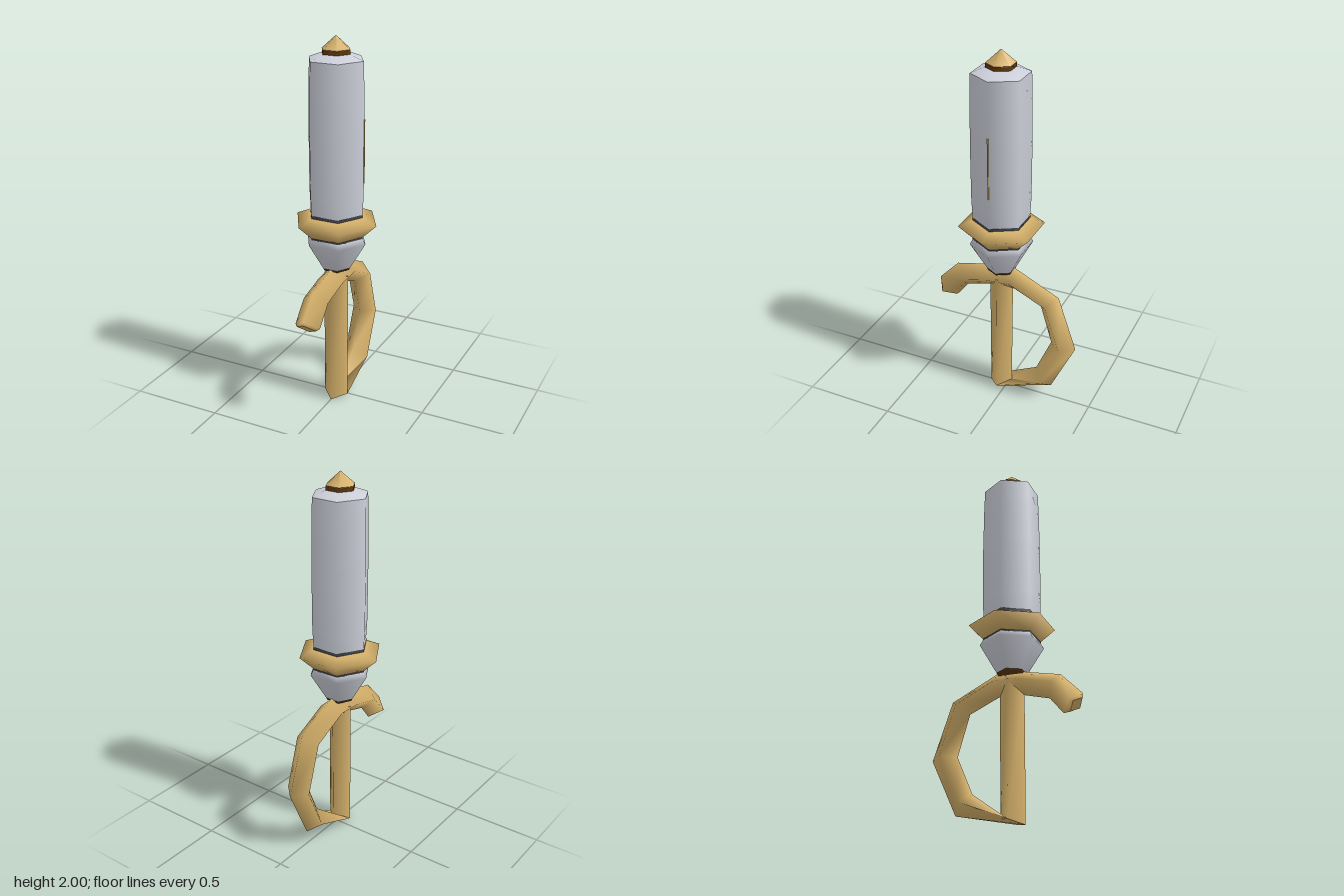
import * as THREE from 'three';

const makeMaterial = (name, color, side = THREE.FrontSide) =>
  Object.assign(new THREE.MeshStandardMaterial({ color, side }), { name });

const AXIS_Z = 0.032; // the sheath and collars share one vertical axis

// Six-sided turned part with corners on +x and -x; profile runs bottom to top as [radius, y]
function hexLathe(name, material, profile) {
  const points = profile.map(([r, y]) => new THREE.Vector2(r, y));
  const mesh = new THREE.Mesh(new THREE.LatheGeometry(points, 6, Math.PI / 6), material);
  mesh.name = name;
  mesh.position.z = AXIS_Z;
  return mesh;
}

// Four-sided bar lofted through diamond sections: [inner z, inner y, outer z, outer y, half width]
function diamondBar(name, material, sections) {
  const rings = sections.map(([iz, iy, oz, oy, w = 0.07]) => {
    const y = (iy + oy) / 2, z = (iz + oz) / 2;
    return [[0, iy, iz], [w, y, z], [0, oy, oz], [-w, y, z]];
  });
  const last = rings.length - 1;
  const positions = [...rings, rings[0], rings[last]].flat(2);
  const index = [];
  for (let s = 0; s < last; s++) {
    for (let k = 0; k < 4; k++) {
      const a = s * 4 + k, b = s * 4 + (k + 1) % 4;
      index.push(a, a + 4, b, b, a + 4, b + 4);
    }
  }
  // End caps have their own vertices so their edges stay sharp
  const c = rings.length * 4, d = c + 4;
  index.push(c, c + 1, c + 2, c, c + 2, c + 3, d, d + 2, d + 1, d, d + 3, d + 2);
  const geometry = new THREE.BufferGeometry();
  geometry.setAttribute('position', new THREE.Float32BufferAttribute(positions, 3));
  geometry.setIndex(index);
  geometry.computeVertexNormals();
  const mesh = new THREE.Mesh(geometry, material);
  mesh.name = name;
  return mesh;
}

export function createModel() {
  const gold = makeMaterial('gold', 0xd8b36c);
  const silver = makeMaterial('silver', 0xcdd0da);
  const dark = makeMaterial('dark grey', 0x45464c);
  const brown = makeMaterial('brown', 0x5f390e);

  const model = new THREE.Group();
  model.name = 'sheathedDagger';

  // Sheath, its sloped shoulder and the tip
  const sheath = new THREE.Group();
  sheath.name = 'sheath';
  sheath.add(
    hexLathe('sheathBody', silver, [[0.149, 1.09], [0.155, 1.2], [0.156, 1.5], [0.153, 1.75], [0.149, 1.885]]),
    hexLathe('sheathShoulder', silver, [[0.149, 1.885], [0.078, 1.912], [0, 1.912]]),
    hexLathe('sheathMouthBand', dark, [[0.151, 1.08], [0.151, 1.1]]),
    hexLathe('tipCollar', brown, [[0.077, 1.91], [0.077, 1.935]]),
    hexLathe('tipCap', gold, [[0.078, 1.932], [0, 2]])
  );

  // Thin gold inlay along one corner of the sheath
  const inlay = new THREE.Mesh(new THREE.BoxGeometry(0.006, 0.33, 0.006), gold);
  inlay.name = 'sheathInlay';
  inlay.position.set(0.155, 1.435, AXIS_Z);
  sheath.add(inlay);

  // Wide ring and the tapering socket beneath it
  const collar = new THREE.Group();
  collar.name = 'collar';
  collar.add(
    hexLathe('collarRing', gold, [[0, 0.975], [0.15, 0.975], [0.228, 1.05], [0.15, 1.085], [0, 1.085]]),
    hexLathe('socketBand', dark, [[0.152, 0.967], [0.152, 0.977]]),
    hexLathe('socket', silver, [[0.08, 0.79], [0.168, 0.94], [0.148, 0.975]]),
    hexLathe('socketBase', brown, [[0, 0.778], [0.075, 0.778], [0.08, 0.792]])
  );

  // Grip with a slanted foot, the hooked guard and the hand loop
  const hilt = new THREE.Group();
  hilt.name = 'hilt';
  hilt.add(
    diamondBar('grip', gold, [
      [0.1, 0.74, -0.035, 0.74],
      [0.1, 0.005, -0.03, 0.045]
    ]),
    diamondBar('guardAndHandLoop', gold, [
      [0.34, 0.54, 0.405, 0.605, 0.055],
      [0.305, 0.537, 0.409, 0.625],
      [0.235, 0.625, 0.295, 0.745],
      [0.09, 0.665, 0.1, 0.79],
      [-0.04, 0.67, -0.05, 0.8],
      [-0.2, 0.6, -0.3, 0.68],
      [-0.265, 0.38, -0.406, 0.375],
      [-0.18, 0.18, -0.27, 0.08],
      [-0.03, 0.045, 0.1, 0.005]
    ])
  );

  model.add(sheath, collar, hilt);
  return model;
}
